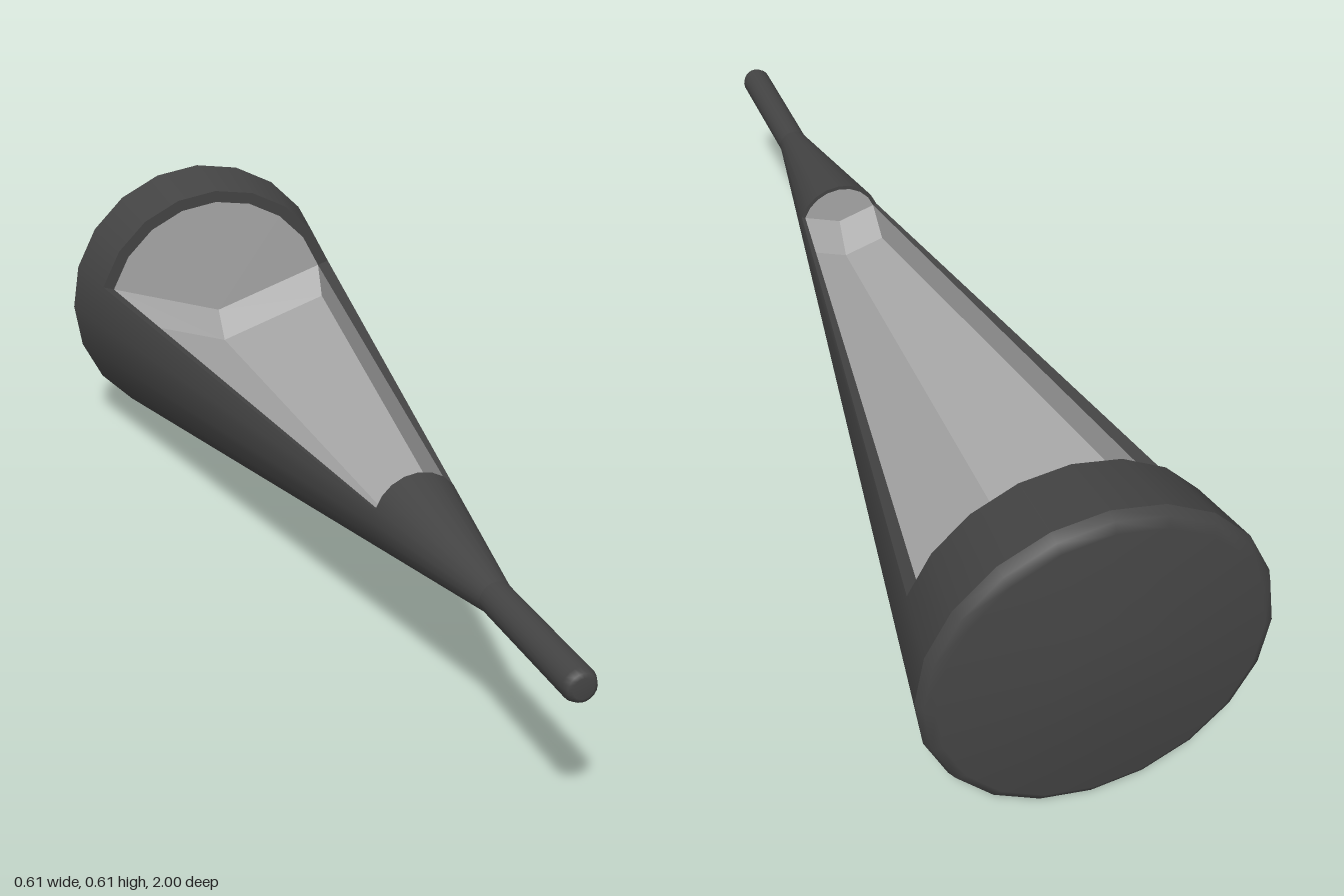
import * as THREE from 'three';

const AXIS = 0.307, SIDES = 20, STEP = (Math.PI * 2) / SIDES;
const Z_BACK = -0.81, Z_FRONT = 0.36;      // ends of the window
const WALL = 0.91;                         // inner radius / outer radius
const DROP = 0.06, INSET = 0.04;           // depth and end slope of the trough

// outer cone radius at z
const coneR = (z) => 0.03 + ((0.69 - z) / 1.64) * 0.275;

export function createModel() {
  const dark = new THREE.MeshStandardMaterial({ color: 0x444444, side: THREE.DoubleSide });
  const light = new THREE.MeshStandardMaterial({ color: 0xa6a6a6, side: THREE.DoubleSide });
  const group = new THREE.Group();
  group.position.y = AXIS;

  const add = (name, geometry, material) => {
    const mesh = new THREE.Mesh(geometry, material);
    mesh.name = name;
    group.add(mesh);
    return mesh;
  };

  // turned section about the z axis; profile is [radius, z] with z rising, angle 0 at the bottom
  const turned = (name, profile, start = 0, steps = SIDES) => {
    const pts = profile.map(([r, z]) => new THREE.Vector2(r, z));
    const g = new THREE.LatheGeometry(pts, steps, start * STEP, steps * STEP);
    add(name, g.rotateX(Math.PI / 2), dark);
  };

  // flat-shaded surface from four-cornered faces
  const quads = (name, faces, material) => {
    const pos = faces.flatMap(([a, b, c, d]) => [a, b, c, a, c, d]).flat();
    const g = new THREE.BufferGeometry();
    g.setAttribute('position', new THREE.Float32BufferAttribute(pos, 3));
    g.computeVertexNormals();
    add(name, g, material);
  };

  // closed rear drum with its shallow domed end
  turned('rearCap', [[0, -1], [0.1, -1], [0.28, -0.977], [0.297, -0.968], [0.305, -0.95]]);
  turned('rearCollar', [[0.305, -0.95], [coneR(Z_BACK), Z_BACK]]);
  // lower shell left below the window
  turned('lowerShell', [[coneR(Z_BACK), Z_BACK], [coneR(Z_FRONT), Z_FRONT]], -6, 12);
  // nose cone and thin tip
  turned('noseCone', [[coneR(Z_FRONT), Z_FRONT], [0.03, 0.69]]);
  turned('tip', [[0.03, 0.69], [0.03, 0.985], [0.025, 0.997], [0.018, 1], [0, 1]]);

  // window frame arcs and the light end panels inside them
  for (const [end, z] of [['rear', Z_BACK], ['front', Z_FRONT]]) {
    const r = coneR(z);
    const frame = new THREE.RingGeometry(r * WALL, r, 8, 1, STEP, 8 * STEP);
    const panel = new THREE.CircleGeometry(r * WALL, 8, STEP, 8 * STEP);
    for (const g of [frame, panel]) {
      if (end === 'front') g.rotateY(Math.PI);
      g.translate(0, 0, z);
    }
    add(end + 'Frame', frame, dark);
    add(end + 'Panel', panel, light);
  }

  // point on the window edge: side is -1, 0 (axis) or 1
  const edge = (side, z, k = WALL, drop = 0) => {
    const r = coneR(z) * k * Math.abs(side);
    return [side * r * Math.cos(STEP), r * Math.sin(STEP) - drop, z];
  };

  // long sills: the wall thickness beside the window
  for (const s of [-1, 1]) {
    const sill = [edge(s, Z_BACK, 1), edge(s, Z_BACK), edge(s, Z_FRONT), edge(s, Z_FRONT, 1)];
    if (s < 0) sill.reverse();
    quads(s > 0 ? 'leftSill' : 'rightSill', [sill.reverse()], dark);
  }

  // sunken V-shaped trough with sloped ends
  const rows = [[Z_BACK, 0], [Z_BACK + INSET, DROP], [Z_FRONT - INSET, DROP], [Z_FRONT, 0]]
    .map(([z, drop]) => [-1, 0, 1].map((s) => edge(s, z, WALL, drop)));
  const faces = [];
  for (let i = 0; i < 3; i++) {
    for (let j = 0; j < 2; j++) {
      faces.push([rows[i][j], rows[i + 1][j], rows[i + 1][j + 1], rows[i][j + 1]]);
    }
  }
  // trough side walls
  faces.push([rows[0][0], rows[3][0], rows[2][0], rows[1][0]]);
  faces.push([rows[0][2], rows[1][2], rows[2][2], rows[3][2]]);
  quads('trough', faces, light);

  const model = new THREE.Group();
  model.name = 'windowedCone';
  model.add(group);
  group.name = 'body';
  return model;
}
